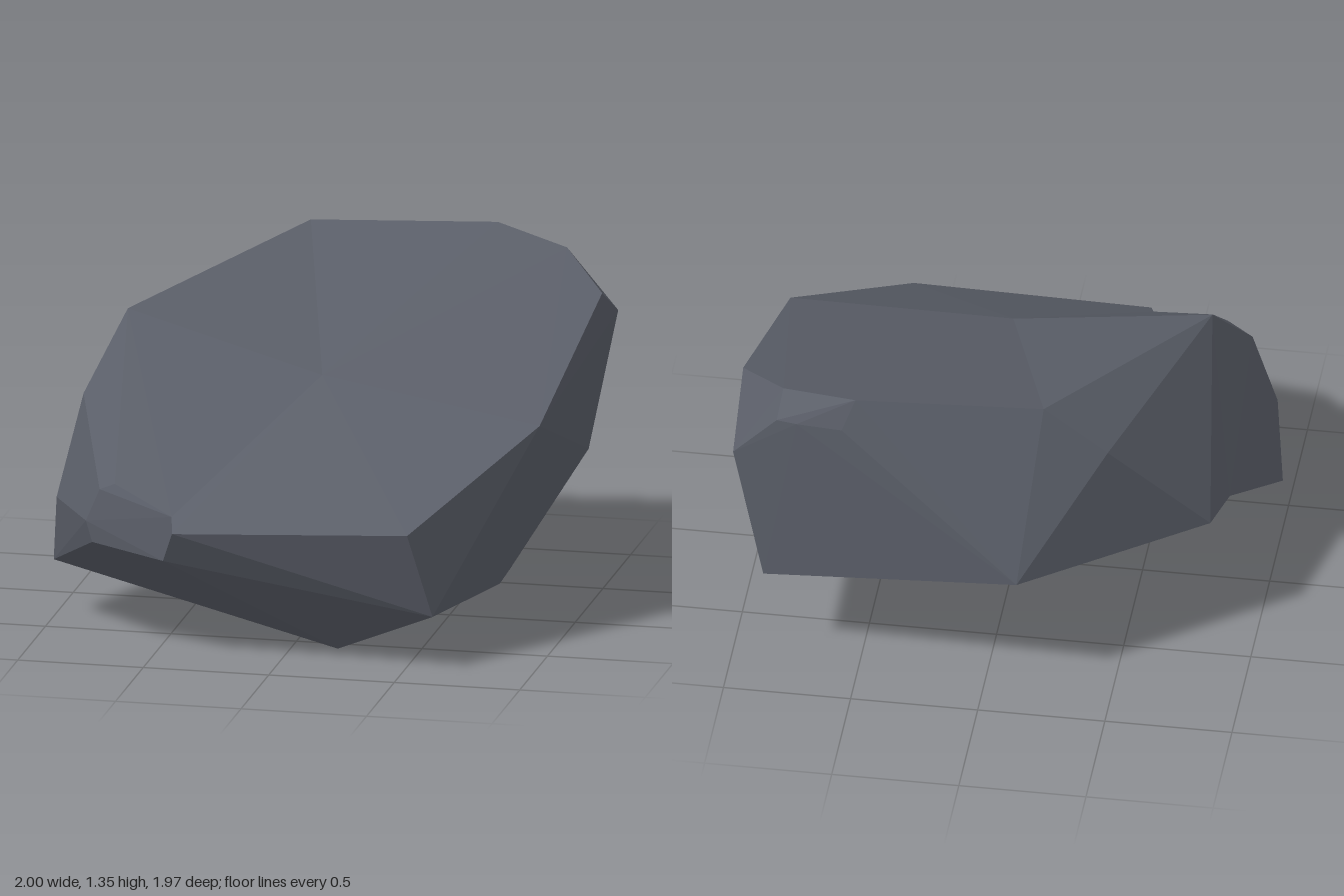
import * as THREE from 'three';
import { ConvexGeometry } from 'three/addons/geometries/ConvexGeometry.js';

// Named corners of the boulder
const P = {
  // top ridge and crown
  ridgeLeft: [-0.76, 1.19, 0.10], dip: [0.04, 1.0, 0.215], ridgeRight: [0.94, 0.89, 0.37],
  crownLeft: [-0.23, 1.335, -0.80], crownMid: [0.50, 1.35, -0.87], crownRight: [0.80, 1.295, -0.76],
  shoulder: [0.995, 1.19, -0.51],
  // back
  backTip: [-0.15, 0.61, -0.985], backRight: [0.985, 1.03, -0.845], backRightLow: [0.865, 0.46, -0.855],
  chipA: [0.55, 1.22, -0.90], chipB: [0.73, 1.22, -0.885], chipC: [0.81, 1.22, -0.87],
  backLeftHigh: [-0.476, 1.12, -0.76], backLeftLow: [-0.835, 0.60, -0.46], notch: [-0.87, 0.53, -0.18],
  // left side
  sideLow: [-1.0, 0.23, 0.35], sideMid: [-0.96, 0.52, 0.48], sideHigh: [-0.88, 0.91, 0.355],
  // front
  lipRight: [0.54, 0.58, 0.95], lipLeft: [-0.39, 0.54, 0.98],
  facet1: [-0.41, 0.585, 0.895], facet2: [-0.445, 0.405, 0.895], facet3: [-0.75, 0.435, 0.79],
  facet4: [-0.775, 0.52, 0.79], facet5: [-0.72, 0.65, 0.79], facet6: [-0.66, 0.675, 0.79],
  // underside
  foot: [0.18, 0, 0.57], frontLow: [0.615, 0.225, 0.83], rightLow: [0.755, 0.21, 0.25],
  underRight: [0.725, 0.18, -0.07],
};

// Convex chunks that meet along the dip and notch, leaving shallow hollows between them
const CHUNKS = {
  rightChunk: 'crownLeft crownMid crownRight shoulder ridgeRight dip backTip backRight backRightLow ' +
    'chipA chipB chipC lipRight lipLeft facet1 facet2 foot frontLow rightLow underRight',
  backLeftChunk: 'crownLeft ridgeLeft dip backTip backLeftHigh backLeftLow notch foot',
  frontLeftChunk: 'ridgeLeft dip notch sideLow sideMid sideHigh foot ' +
    'facet1 facet2 facet3 facet4 facet5 facet6',
};

export function createModel() {
  const stone = new THREE.MeshStandardMaterial({ color: 0x5a5e68 });
  stone.name = 'slateStone';
  const rock = new THREE.Group();
  rock.name = 'boulder';
  for (const [name, corners] of Object.entries(CHUNKS)) {
    const points = corners.split(' ').map((key) => new THREE.Vector3(...P[key]));
    const mesh = new THREE.Mesh(new ConvexGeometry(points), stone);
    mesh.name = name;
    rock.add(mesh);
  }
  return rock;
}
